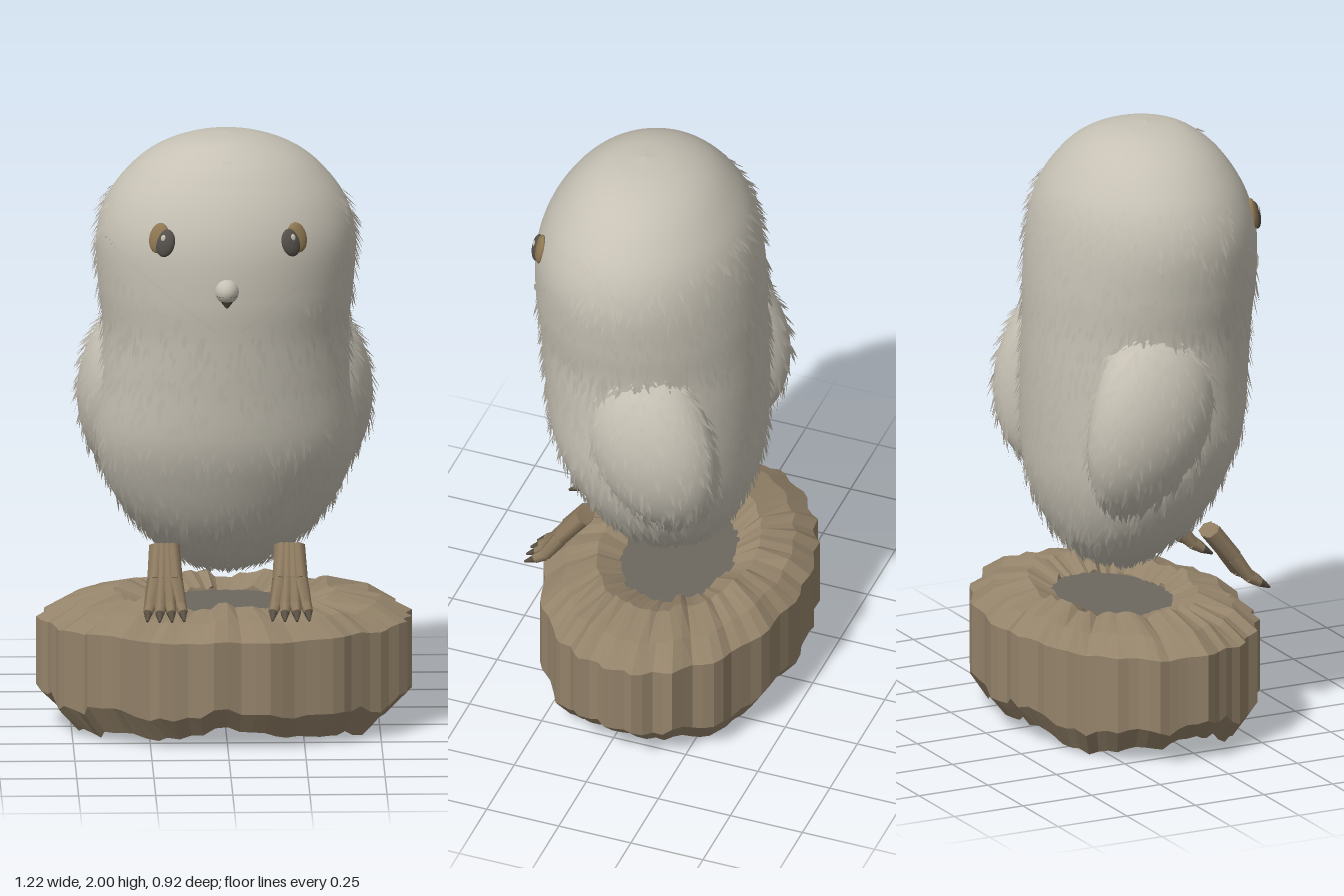
import * as THREE from 'three';
import { mergeGeometries } from 'three/addons/utils/BufferGeometryUtils.js';
import { ParametricGeometry } from 'three/addons/geometries/ParametricGeometry.js';

const TAU = Math.PI * 2;

function material(name, color, double = false) {
  const m = new THREE.MeshStandardMaterial({ color });
  m.name = name;
  if (double) m.side = THREE.DoubleSide;
  return m;
}

function seeded(seed) {
  return () => {
    seed = (seed * 1664525 + 1013904223) % 4294967296;
    return seed / 4294967296;
  };
}

// Body cross-sections, top to bottom: y, half width, front z, back z
const SECTIONS = [
  [2.0, 0.001, 0.081, 0.079], [1.985, 0.12, 0.19, -0.03], [1.945, 0.225, 0.265, -0.12],
  [1.88, 0.31, 0.33, -0.19], [1.78, 0.385, 0.39, -0.255], [1.66, 0.42, 0.425, -0.29],
  [1.5, 0.415, 0.43, -0.31], [1.35, 0.4, 0.415, -0.315], [1.2, 0.41, 0.4, -0.318],
  [1.0, 0.425, 0.375, -0.315], [0.85, 0.395, 0.32, -0.305], [0.72, 0.325, 0.25, -0.27],
  [0.62, 0.23, 0.165, -0.215], [0.56, 0.135, 0.08, -0.14], [0.53, 0.001, -0.019, -0.021],
];
const spline = (pts) => new THREE.CatmullRomCurve3(pts, false, 'catmullrom', 0.5);
const heights = spline(SECTIONS.map(([y, w]) => new THREE.Vector3(w, y, 0)));
const depths = spline(SECTIONS.map(([, , f, b]) => new THREE.Vector3((f + b) / 2, (f - b) / 2, 0)));

function bodySurface(u, v, out) {
  const h = heights.getPoint(v), d = depths.getPoint(v), a = u * TAU;
  out.set(h.x * Math.cos(a), h.y, d.x + d.y * Math.sin(a));
}

// Folded wing: a leaning ellipsoid whose ends tuck into the body, s = 1 left, -1 right
const wingSurface = (s) => (u, v, out) => {
  const a = u * TAU, p = 0.01 + v * (Math.PI - 0.02), r = Math.sin(p), c = Math.cos(p);
  out.set(s * (0.335 + 0.145 * r * Math.cos(a) - 0.05 * c * c), 1.095 + 0.325 * c,
    -0.07 + s * 0.215 * r * Math.sin(a) + 0.045 * c);
};

// Adds one pointed, slightly lifted feather that shades like the surface below it
function addFeather(list, { p, down, normal }, length, width) {
  const side = new THREE.Vector3().crossVectors(normal, down);
  const at = (d, w, n) => p.clone().addScaledVector(down, d).addScaledVector(side, w).addScaledVector(normal, n);
  const root = at(0, 0, -0.003), tip = at(length, 0, length * 0.28);
  const a = at(length * 0.45, -width, 0.005), b = at(length * 0.45, width, 0.005);
  for (const q of [root, a, tip, root, tip, b]) {
    list.position.push(q.x, q.y, q.z);
    list.normal.push(normal.x, normal.y, normal.z);
  }
}

function featherGeometry(list) {
  const g = new THREE.BufferGeometry();
  for (const key of ['position', 'normal']) g.setAttribute(key, new THREE.Float32BufferAttribute(list[key], 3));
  return g;
}

// Surface point with its downhill direction and outward normal
function frameAt(surface, u, v) {
  const p = new THREE.Vector3(), q = new THREE.Vector3(), r = new THREE.Vector3();
  surface(u, v, p);
  surface(u + 0.001, v, q);
  surface(u, v + 0.001, r);
  const down = r.sub(p).normalize();
  return { p, down, normal: q.sub(p).cross(down).normalize() };
}

function scatter(surface, count, seed, keep) {
  const rand = seeded(seed), list = { position: [], normal: [] };
  for (let i = 0; i < count; i++) {
    const f = frameAt(surface, rand(), 0.04 + 0.93 * rand());
    const length = 0.035 + 0.04 * rand(), width = 0.006 + 0.004 * rand();
    f.down.applyAxisAngle(f.normal, (rand() - 0.5) * 0.5);
    if (keep(f.p)) addFeather(list, f, length, width);
  }
  return featherGeometry(list);
}

// Tapered rod between two points
function rod(a, b, ra, rb, sides = 6) {
  const dir = b.clone().sub(a);
  const g = new THREE.CylinderGeometry(rb, ra, dir.length(), sides);
  g.applyQuaternion(new THREE.Quaternion().setFromUnitVectors(new THREE.Vector3(0, 1, 0), dir.clone().normalize()));
  const mid = a.clone().add(b).multiplyScalar(0.5);
  return g.translate(mid.x, mid.y, mid.z);
}

// Open stump shell with ruffled bark; profile rows: radius, y, height jitter, rim wave
function stumpGeometry() {
  const profile = [[0.42, 0.405, 0.015, 0], [0.6, 0.445, 0.016, 0], [0.84, 0.415, 0.01, 0],
    [1, 0.36, 0.006, 0], [1, 0.115, 0.02, 0.01], [0.88, 0.037, 0.016, 0.02]];
  const columns = 84, rand = seeded(11);
  const jitter = Array.from({ length: columns }, () => rand() - 0.5);
  const surface = (u, v, out) => {
    const i = Math.round(u * columns) % columns, a = (i / columns) * TAU;
    const [r, y, dy, wave] = profile[Math.round(v * (profile.length - 1))];
    const ruffle = 0.02 * Math.sin(21 * a + 2 * Math.sin(3 * a)) + 0.025 * jitter[i];
    const k = r * (1 + ruffle * r);
    const lift = dy * (jitter[i] * 1.6 + Math.sin(9 * a) * 0.5) + wave * Math.cos(4 * a);
    out.set(0.6 * k * Math.cos(a), Math.max(0, y + lift), -0.037 + 0.42 * k * Math.sin(a));
  };
  const g = new ParametricGeometry(surface, columns, profile.length - 1).toNonIndexed();
  g.computeVertexNormals();
  return g;
}

export function createModel() {
  const model = new THREE.Group();
  const plumage = material('plumage grey', 0xc6c1b4);
  const feather = material('feather grey', 0xc2bdb0, true);
  const wood = material('bark brown', 0x94836a, true);
  const core = material('dark core', 0x6c675e, true);
  const skin = material('leg brown', 0x8f7c61);
  const claw = material('claw brown', 0x5c5245);
  const iris = material('eye rim tan', 0x8f7853);
  const pupil = material('eye dark', 0x55504a);
  const add = (name, geometry, mat, parent = model) => {
    const mesh = new THREE.Mesh(geometry, mat);
    mesh.name = name;
    parent.add(mesh);
    return mesh;
  };

  // Stump
  add('stump', stumpGeometry(), wood);
  const disc = add('stumpCore', new THREE.CircleGeometry(1, 48).rotateX(-Math.PI / 2), core);
  disc.scale.set(0.262, 1, 0.186);
  disc.position.set(0, 0.4, -0.037);

  // Body and plumage, leaving the crown and the face bare
  add('body', new ParametricGeometry(bodySurface, 64, 70), plumage);
  const covered = (p) => (p.z > 0.2 ? p.y < 1.35 + 0.78 * Math.abs(p.x) && p.y < 1.68 : p.y < 1.81);
  add('bodyFeathers', scatter(bodySurface, 3800, 5, covered), feather);

  // Wings
  for (const s of [1, -1]) {
    const side = s > 0 ? 'left' : 'right';
    const surface = wingSurface(s);
    add(side + 'Wing', new ParametricGeometry(surface, 36, 30), plumage);
    add(side + 'WingFeathers', scatter(surface, 800, 20 + s, (p) => Math.abs(p.x) > 0.28), feather);
  }

  // Rim of tiny feathers along the lower edge of the face, and a forehead tuft
  const rim = { position: [], normal: [] };
  for (const s of [1, -1]) {
    for (let i = 5; i <= 44; i++) {
      const x = (0.39 * i) / 44, y = 1.385 + 0.76 * x;
      let lo = 0, hi = 1;
      for (let k = 0; k < 20; k++) {
        const m = (lo + hi) / 2;
        if (heights.getPoint(m).y > y) lo = m; else hi = m;
      }
      const u = Math.acos((s * x) / heights.getPoint(lo).x) / TAU;
      addFeather(rim, frameAt(bodySurface, u, lo), 0.018, 0.005);
    }
  }
  for (const u of [0.243, 0.25, 0.257]) addFeather(rim, frameAt(bodySurface, u, 0.145), 0.03, 0.007);
  add('faceRim', featherGeometry(rim), feather);

  // Eyes
  const ball = new THREE.SphereGeometry(1, 24, 16);
  for (const s of [1, -1]) {
    const eye = new THREE.Group();
    eye.name = s > 0 ? 'leftEye' : 'rightEye';
    eye.position.set(s * 0.208, 1.698, 0.369);
    eye.rotation.set(-0.2, s * 0.48, s * 0.15, 'YXZ');
    const place = (name, mat, x, y, z, w, h, d) => {
      const m = add(name, ball, mat, eye);
      m.position.set(s * x, y, z);
      m.scale.set(w, h, d);
    };
    place('eyeRim', iris, 0.02, 0.006, 0, 0.034, 0.05, 0.016);
    place('pupil', pupil, -0.008, -0.004, 0.004, 0.033, 0.046, 0.018);
    place('glint', plumage, -0.004, 0.012, 0.02, 0.008, 0.011, 0.004);
    model.add(eye);
  }

  // Beak
  const beak = add('beak', ball, plumage);
  beak.scale.set(0.042, 0.044, 0.055);
  beak.position.set(-0.005, 1.543, 0.408);
  const tip = add('beakTip', new THREE.ConeGeometry(0.036, 0.05, 16).rotateX(Math.PI), claw);
  tip.position.set(-0.005, 1.505, 0.424);

  // Legs made of fanned strands that end in clawed toes
  for (const s of [1, -1]) {
    const strands = [], claws = [];
    for (let i = -1.5; i <= 1.5; i++) {
      const at = (spread, y, z) => new THREE.Vector3(s * 0.203 + i * spread, y, z);
      const splay = 0.008 * Math.abs(i);
      const path = [at(0.014, 0.645, 0.21), at(0.021, 0.55, 0.285), at(0.032, 0.48, 0.345 - splay), at(0.038, 0.46, 0.378 - splay)];
      const radii = [0.03, 0.027, 0.021, 0.016];
      for (let k = 0; k < 3; k++) strands.push(rod(path[k], path[k + 1], radii[k], radii[k + 1]));
      claws.push(rod(path[3], at(0.04, 0.44, 0.412 - splay), 0.015, 0.004));
    }
    const side = s > 0 ? 'left' : 'right';
    add(side + 'Leg', mergeGeometries(strands), skin);
    add(side + 'Claws', mergeGeometries(claws), claw);
  }
  return model;
}
